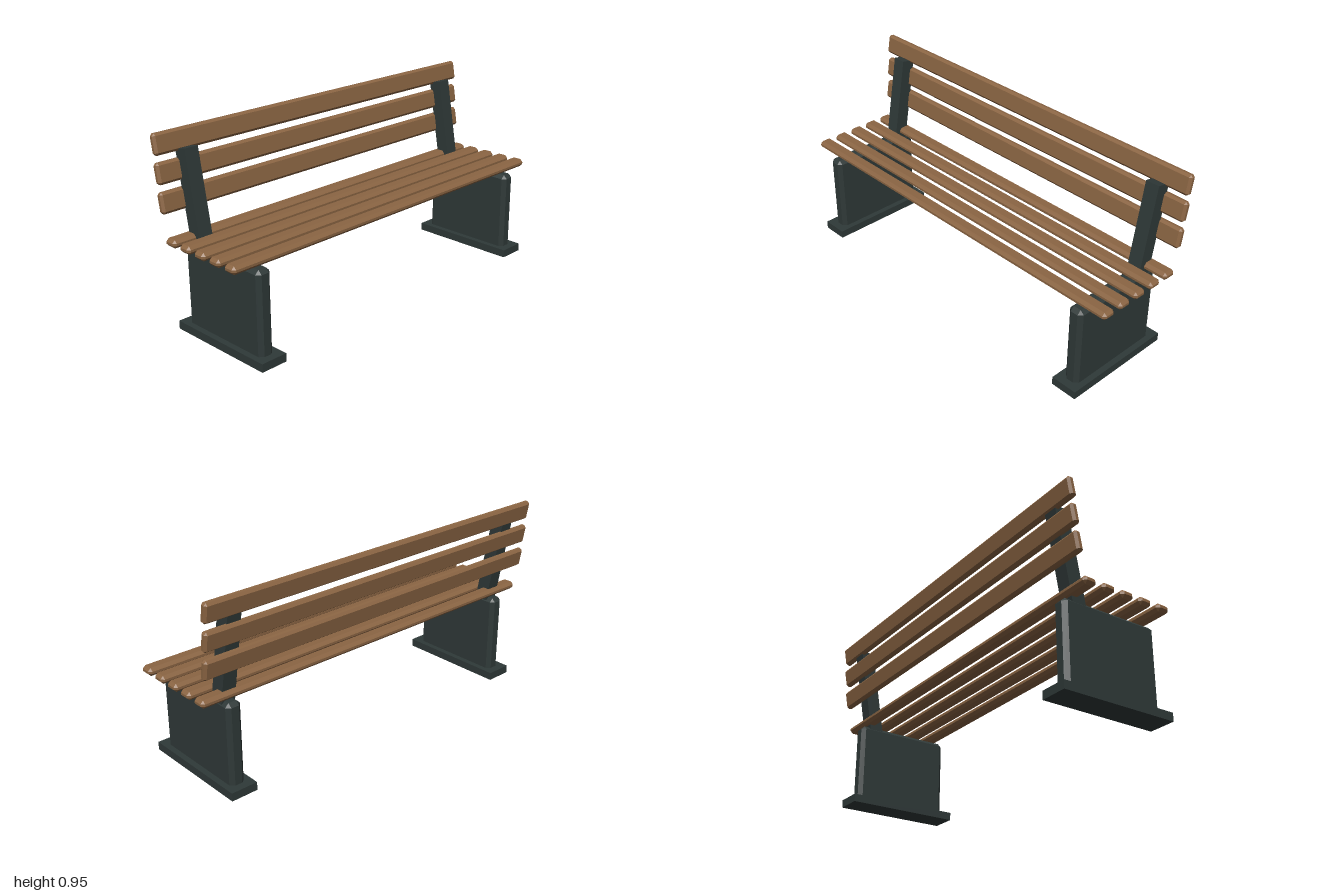
import * as THREE from 'three';
import { ConvexGeometry } from 'three/addons/geometries/ConvexGeometry.js';

// Box with every edge and corner cut flat by c
function chamferBox(w, h, d, c) {
  const points = [];
  for (const sx of [-1, 1]) for (const sy of [-1, 1]) for (const sz of [-1, 1]) {
    const x = w / 2, y = h / 2, z = d / 2;
    points.push(
      new THREE.Vector3(sx * x, sy * (y - c), sz * (z - c)),
      new THREE.Vector3(sx * (x - c), sy * y, sz * (z - c)),
      new THREE.Vector3(sx * (x - c), sy * (y - c), sz * z),
    );
  }
  return new ConvexGeometry(points);
}

export function createModel() {
  const bench = new THREE.Group();
  bench.name = 'bench';
  const wood = new THREE.MeshStandardMaterial({ name: 'brown wood', color: 0x8b6543 });
  const metal = new THREE.MeshStandardMaterial({ name: 'dark metal', color: 0x2f3938 });
  const tilt = -THREE.MathUtils.degToRad(10);

  const add = (name, geometry, material, x, y, z, rx = 0) => {
    const mesh = new THREE.Mesh(geometry, material);
    mesh.name = name;
    mesh.position.set(x, y, z);
    mesh.rotation.x = rx;
    bench.add(mesh);
  };

  // Supports: foot plate, slab leg and leaning back post on each side
  const foot = new THREE.BoxGeometry(0.135, 0.04, 0.58);
  const leg = chamferBox(0.077, 0.42, 0.5, 0.019);
  const post = new THREE.BoxGeometry(0.07, 0.454, 0.07);
  for (const [side, x] of [['left', 0.848], ['right', -0.848]]) {
    add(side + 'Foot', foot, metal, x, 0.02, 0.005);
    add(side + 'Leg', leg, metal, x, 0.23, 0.005);
    add(side + 'BackPost', post, metal, x, 0.643, -0.2, tilt);
  }

  // Seat slats
  const seatSlat = chamferBox(2, 0.039, 0.069, 0.014);
  for (let i = 0; i < 5; i++) {
    add('seatSlat' + (i + 1), seatSlat, wood, 0, 0.471, 0.205 - i * 0.1);
  }

  // Backrest slats, leaning with the posts
  const backSlat = chamferBox(2, 0.097, 0.036, 0.011);
  [[0.641, -0.246], [0.771, -0.259], [0.9, -0.27]].forEach(([y, z], i) => {
    add('backSlat' + (i + 1), backSlat, wood, 0, y, z, tilt);
  });

  return bench;
}
